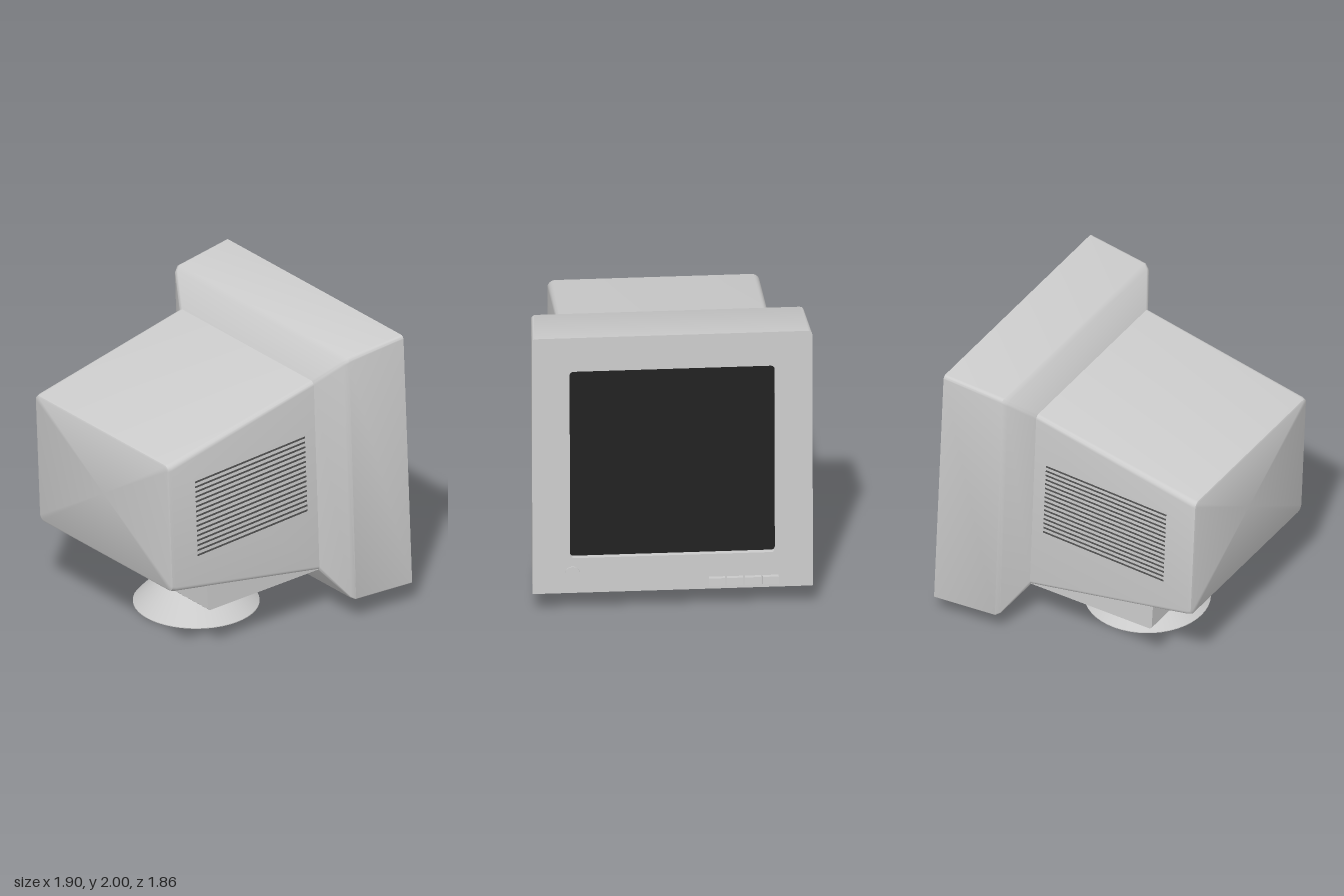
import * as THREE from 'three';
import { toCreasedNormals } from 'three/addons/utils/BufferGeometryUtils.js';

const TILT = 0.0405; // the whole display leans back slightly

const grey = new THREE.MeshStandardMaterial({ color: 0xcccccc });
const greyThin = new THREE.MeshStandardMaterial({ color: 0xcccccc, side: THREE.DoubleSide });
const black = new THREE.MeshStandardMaterial({ color: 0x222222 });
const slotDark = new THREE.MeshStandardMaterial({ color: 0x555555 });

function add(parent, name, geometry, material, x = 0, y = 0, z = 0) {
  const mesh = new THREE.Mesh(geometry, material);
  mesh.name = name;
  mesh.position.set(x, y, z);
  parent.add(mesh);
  return mesh;
}

// Rounded rectangle standing on the line from its bottom point to its top point
function ring(xTop, yTop, xBottom, yBottom, halfZ, rTop, rBottom = rTop) {
  const top = new THREE.Vector2(xTop, yTop), bottom = new THREE.Vector2(xBottom, yBottom);
  const height = top.distanceTo(bottom), points = [];
  const corners = [[1, 1, rTop], [-1, 1, rTop], [-1, -1, rBottom], [1, -1, rBottom]];
  corners.forEach(([sz, sy, r], k) => {
    for (let i = 0; i <= 5; i++) {
      const a = (k + i / 5) * Math.PI / 2;
      const z = sz * (halfZ - r) + r * Math.cos(a);
      const h = (sy > 0 ? height - r : r) + r * Math.sin(a);
      const p = bottom.clone().lerp(top, h / height);
      points.push(new THREE.Vector3(p.x, p.y, z));
    }
  });
  return points;
}

// All points of a ring pulled to its middle, to close a loft
function centre(points) {
  const c = new THREE.Vector3();
  points.forEach(p => c.addScaledVector(p, 1 / points.length));
  return points.map(() => c);
}

function loft(rings) {
  const pos = [];
  const triangle = (a, b, c) => {
    if (new THREE.Triangle(a, b, c).getArea() > 1e-9) pos.push(...a, ...b, ...c);
  };
  for (let i = 0; i < rings.length - 1; i++) {
    const n = rings[i].length;
    for (let j = 0; j < n; j++) {
      const k = (j + 1) % n;
      triangle(rings[i][j], rings[i + 1][j], rings[i][k]);
      triangle(rings[i][k], rings[i + 1][j], rings[i + 1][k]);
    }
  }
  const g = new THREE.BufferGeometry();
  g.setAttribute('position', new THREE.Float32BufferAttribute(pos, 3));
  return toCreasedNormals(g, 0.6);
}

export function createModel() {
  const model = new THREE.Group();
  model.name = 'crtMonitor';

  // Housing: tapered back, flared shoulder, bezel and recessed screen opening
  const back = ring(-0.95, 1.5, -0.912, 0.585, 0.68, 0.03);
  const opening = ring(0.88, 1.755, 0.935, 0.4, 0.68, 0.025);
  const recess = opening.map(p => p.clone().add(new THREE.Vector3(-0.04, -0.0016, 0)));
  add(model, 'housing', loft([
    centre(back), back,
    ring(-0.944, 1.511, -0.905, 0.572, 0.695, 0.04),
    ring(-0.92, 1.516, -0.88, 0.565, 0.703, 0.04),
    ring(0.29, 1.755, 0.34, 0.345, 0.703, 0.03),
    ring(0.397, 1.935, 0.46, 0.173, 0.885, 0.03, 0.015),
    ring(0.43, 1.957, 0.487, 0.16, 0.905, 0.03, 0.01),
    ring(0.87, 2.0, 0.945, 0.148, 0.93, 0.025, 0.006),
    opening, recess,
  ]), grey);
  add(model, 'screen', loft([recess, centre(recess)]), black);

  // Wedge under the housing that sits on the swivel
  const wedge = new THREE.Shape([
    [-0.61, 0.53], [-0.6, 0.35], [-0.585, 0.337], [0.34, 0.345], [0.3, 0.365],
  ].map(p => new THREE.Vector2(...p)));
  add(model, 'swivelMount',
    new THREE.ExtrudeGeometry(wedge, { depth: 1.38, bevelEnabled: false }), grey, 0, 0, -0.69);

  // Swivel stand: hollow cone foot, ball neck and inner tube
  const lathe = pts => toCreasedNormals(
    new THREE.LatheGeometry(pts.map(p => new THREE.Vector2(...p)), 48), 0.5);
  const stand = new THREE.Group();
  stand.name = 'stand';
  stand.position.x = -0.14;
  model.add(stand);
  add(stand, 'foot', lathe([[0.42, 0], [0.42, 0.005], [0.21, 0.232]]), greyThin);
  add(stand, 'ballNeck', lathe([
    [0, 0.232], [0.21, 0.232], [0.235, 0.258], [0.25, 0.285], [0.255, 0.31], [0.253, 0.33], [0.248, 0.35],
  ]), greyThin);
  add(stand, 'innerTube', new THREE.CylinderGeometry(0.19, 0.19, 0.225, 40, 1, true), greyThin, 0, 0.12, 0);

  // Cooling slots on both sides
  for (const side of [1, -1]) {
    const vents = new THREE.Group();
    vents.name = side > 0 ? 'ventsLeft' : 'ventsRight';
    vents.position.set(-0.243, 1.077, side * 0.7);
    vents.rotation.z = TILT;
    model.add(vents);
    for (let i = 0; i < 16; i++) {
      add(vents, 'ventSlot', new THREE.BoxGeometry(0.936, 0.013, 0.01), slotDark, 0, (i - 7.5) * 0.0364, 0);
    }
  }

  // Controls on the bezel, in a frame lying on its leaning face
  const controls = new THREE.Group();
  controls.name = 'controls';
  controls.position.set(0.945, 0.148, 0);
  controls.rotation.z = TILT;
  model.add(controls);
  const power = add(controls, 'powerButton', new THREE.CylinderGeometry(0.05, 0.05, 0.02, 32), grey, 0, 0.142, 0.665);
  power.rotation.z = -Math.PI / 2;

  // Four wedge keys, flush at the top and proud at the bottom
  const key = new THREE.Shape([
    [-0.006, 0.022], [0.007, 0.022], [0.005, 0.075], [0.001, 0.087], [-0.006, 0.087],
  ].map(p => new THREE.Vector2(...p)));
  const keyGeometry = new THREE.ExtrudeGeometry(key, { depth: 0.106, bevelEnabled: false });
  for (let i = 0; i < 4; i++) {
    add(controls, 'controlKey', keyGeometry, grey, 0, 0, -0.347 - i * 0.1185);
  }
  return model;
}
